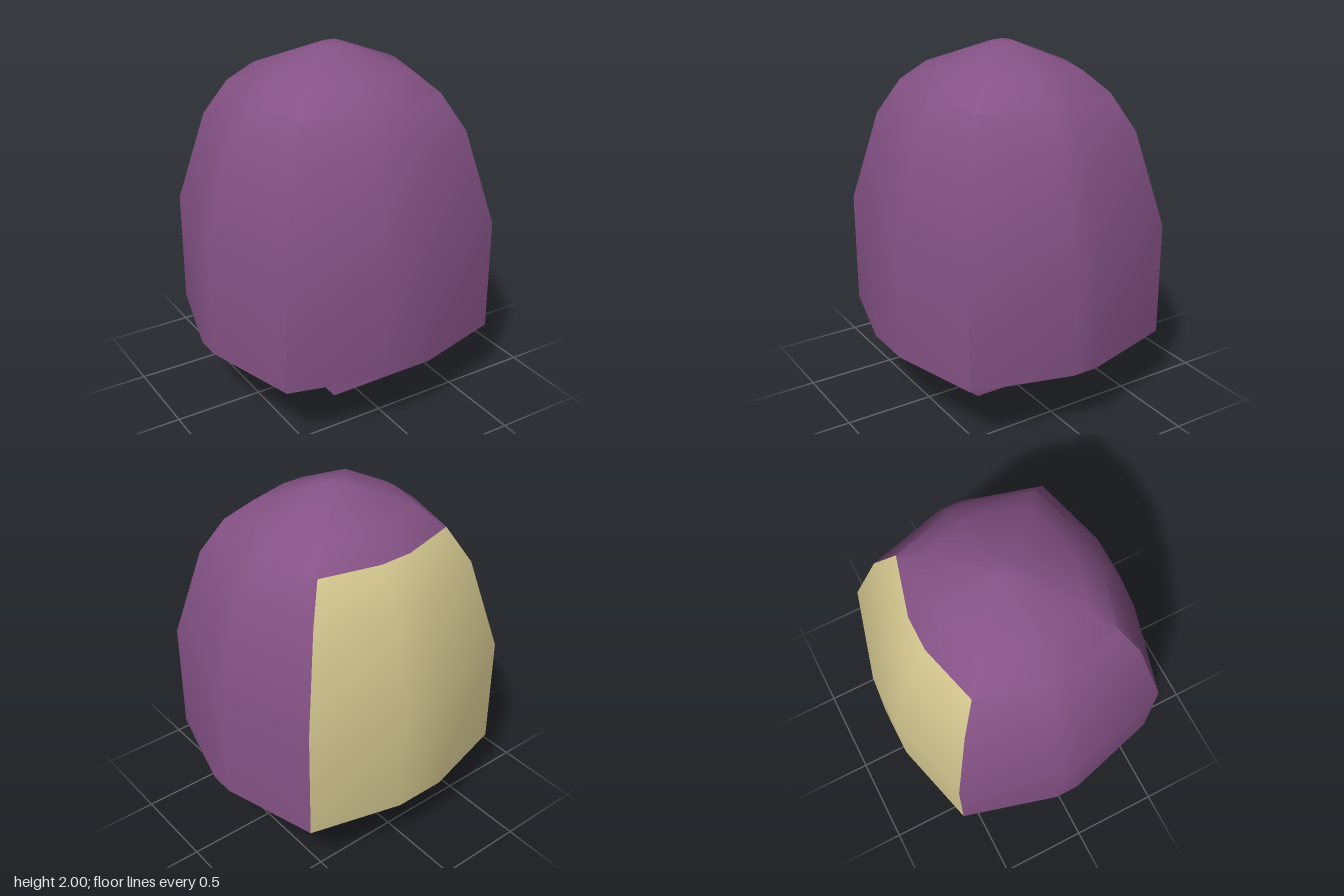
import * as THREE from 'three';
import { toCreasedNormals } from 'three/addons/utils/BufferGeometryUtils.js';

// One quarter of the outline, mirrored into a 12-sided ring
const quarter = [[0.8, 0.07], [0.65, 0.61], [0.145, 0.745]];
const flip = (pts, sx, sz) => pts.map(([x, z]) => [x * sx, z * sz]);
const ring = [
  ...quarter,
  ...flip([...quarter].reverse(), -1, 1),
  ...flip(quarter, -1, -1),
  ...flip([...quarter].reverse(), 1, -1),
];

// Height and scale of each ring, from the base to the crown
const levels = [[0.4, 1], [1.04, 1], [1.56, 0.81], [1.76, 0.65], [1.87, 0.48], [2, 0.075]];
const PANEL_TOP = 3; // the back panel ends at this level

function shellGeometry() {
  const n = ring.length;
  const point = (level, i) => {
    const [y, s] = levels[level];
    const [x, z] = ring[i % n];
    return [x * s, y, z * s];
  };
  const main = [], panel = [];
  for (let l = 0; l < levels.length - 1; l++) {
    for (let i = 0; i < n; i++) {
      const a = point(l, i), b = point(l, i + 1), c = point(l + 1, i + 1), d = point(l + 1, i);
      const isBack = i >= 7 && i <= 9 && l < PANEL_TOP;
      (isBack ? panel : main).push(...a, ...d, ...b, ...b, ...d, ...c);
    }
  }
  // Flat base and crown
  const last = levels.length - 1;
  for (let i = 0; i < n; i++) {
    main.push(0, levels[0][0], 0, ...point(0, i), ...point(0, i + 1));
    main.push(0, levels[last][0], 0, ...point(last, i + 1), ...point(last, i));
  }
  const geo = new THREE.BufferGeometry();
  geo.setAttribute('position', new THREE.Float32BufferAttribute([...main, ...panel], 3));
  geo.addGroup(0, main.length / 3, 0);
  geo.addGroup(main.length / 3, panel.length / 3, 1);
  return toCreasedNormals(geo, 0.75);
}

export function createModel() {
  const purple = new THREE.MeshStandardMaterial({ color: 0x855286 });
  purple.name = 'purple';
  const gold = new THREE.MeshStandardMaterial({ color: 0xd2c58e });
  gold.name = 'paleGold';

  const model = new THREE.Group();
  model.name = 'domedShell';

  // Faceted dome with a gold back panel
  const shell = new THREE.Mesh(shellGeometry(), [purple, gold]);
  shell.name = 'shell';
  model.add(shell);

  // Tapered keel underneath
  const profile = new THREE.Shape([
    new THREE.Vector2(-0.26, 0), new THREE.Vector2(0.26, 0),
    new THREE.Vector2(0.745, 0.4), new THREE.Vector2(-0.745, 0.4),
  ]);
  const keelGeo = new THREE.ExtrudeGeometry(profile, { depth: 0.29, bevelEnabled: false });
  keelGeo.translate(0, 0, -0.145).rotateY(Math.PI / 2);
  const keel = new THREE.Mesh(keelGeo, purple);
  keel.name = 'keel';
  model.add(keel);

  return model;
}
